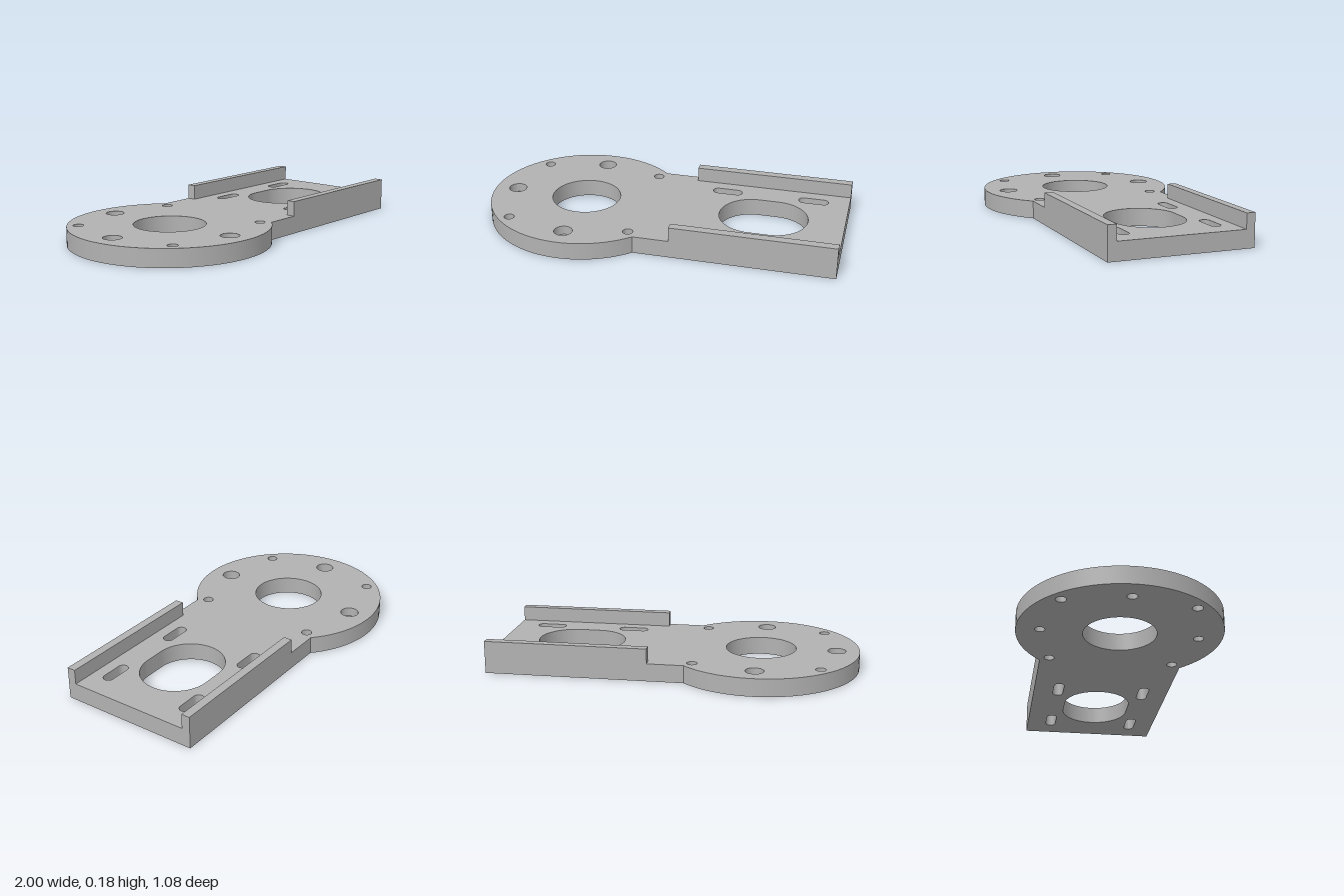
import * as THREE from 'three';
import { toCreasedNormals } from 'three/addons/utils/BufferGeometryUtils.js';

const T = 0.097;          // plate thickness
const W = 0.388;          // half width of the arm
const R = 0.54;           // disc radius
const CX = -0.46;         // disc centre
const RAIL_TOP = 0.178, RAIL_W = 0.047, RAIL_X = 0.113;
const BORE = 0.05, SCREW = 0.027, SEAT = 0.047;

// Round hole, or a slot when the two centres differ
function slot(x1, x2, y, r) {
  const p = new THREE.Path();
  if (x1 === x2) {
    p.absarc(x1, y, r, 0, Math.PI * 2, false);
  } else {
    p.absarc(x2, y, r, -Math.PI / 2, Math.PI / 2, false);
    p.absarc(x1, y, r, Math.PI / 2, Math.PI * 1.5, false);
    p.closePath();
  }
  return p;
}

export function createModel() {
  const model = new THREE.Group();
  model.name = 'motorBracket';
  const metal = new THREE.MeshStandardMaterial({ name: 'grey metal', color: 0xb2b2b2 });

  const add = (name, geometry, x = 0, y = 0, z = 0) => {
    const mesh = new THREE.Mesh(geometry, metal);
    mesh.name = name;
    mesh.position.set(x, y, z);
    model.add(mesh);
  };

  // Outline: rectangular arm joined to a disc
  const a = Math.asin(W / R);
  const outline = new THREE.Shape();
  outline.moveTo(1, -W);
  outline.lineTo(1, W);
  outline.absarc(CX, 0, R, a, Math.PI * 2 - a, false);
  outline.closePath();

  // Large openings
  outline.holes.push(slot(CX, CX, 0, 0.193));
  outline.holes.push(slot(0.5, 0.61, 0, 0.19));

  // Small corner holes and adjustment slots, mirrored front to back
  for (const s of [-1, 1]) {
    for (const dx of [-0.338, 0.338]) {
      outline.holes.push(slot(CX + dx, CX + dx, s * 0.338, 0.028));
    }
    for (const x of [0.308, 0.8]) {
      outline.holes.push(slot(x - 0.055, x + 0.055, s * 0.247, 0.029));
    }
  }

  // Counterbored holes
  const bores = [[CX, 0.415], [CX, -0.415], [CX - 0.415, 0]];
  for (const [x, z] of bores) outline.holes.push(slot(x, x, z, BORE));

  const plate = new THREE.ExtrudeGeometry(outline, { depth: T, bevelEnabled: false, curveSegments: 32 });
  plate.rotateX(-Math.PI / 2);
  add('plate', toCreasedNormals(plate, 0.5));

  // Counterbore seats: ledge, narrow bore and underside
  const profile = [[BORE, SEAT], [SCREW, SEAT], [SCREW, 0], [BORE, 0]].map(([r, y]) => new THREE.Vector2(r, y));
  const seat = toCreasedNormals(new THREE.LatheGeometry(profile, 64), 0.5);
  for (const [x, z] of bores) add('counterboreSeat', seat, x, 0, z);

  // Side rails
  const rail = new THREE.BoxGeometry(1 - RAIL_X, RAIL_TOP - T, RAIL_W);
  for (const s of [-1, 1]) {
    add(s > 0 ? 'frontRail' : 'backRail', rail, (1 + RAIL_X) / 2, (RAIL_TOP + T) / 2, s * (W - RAIL_W / 2));
  }
  return model;
}
